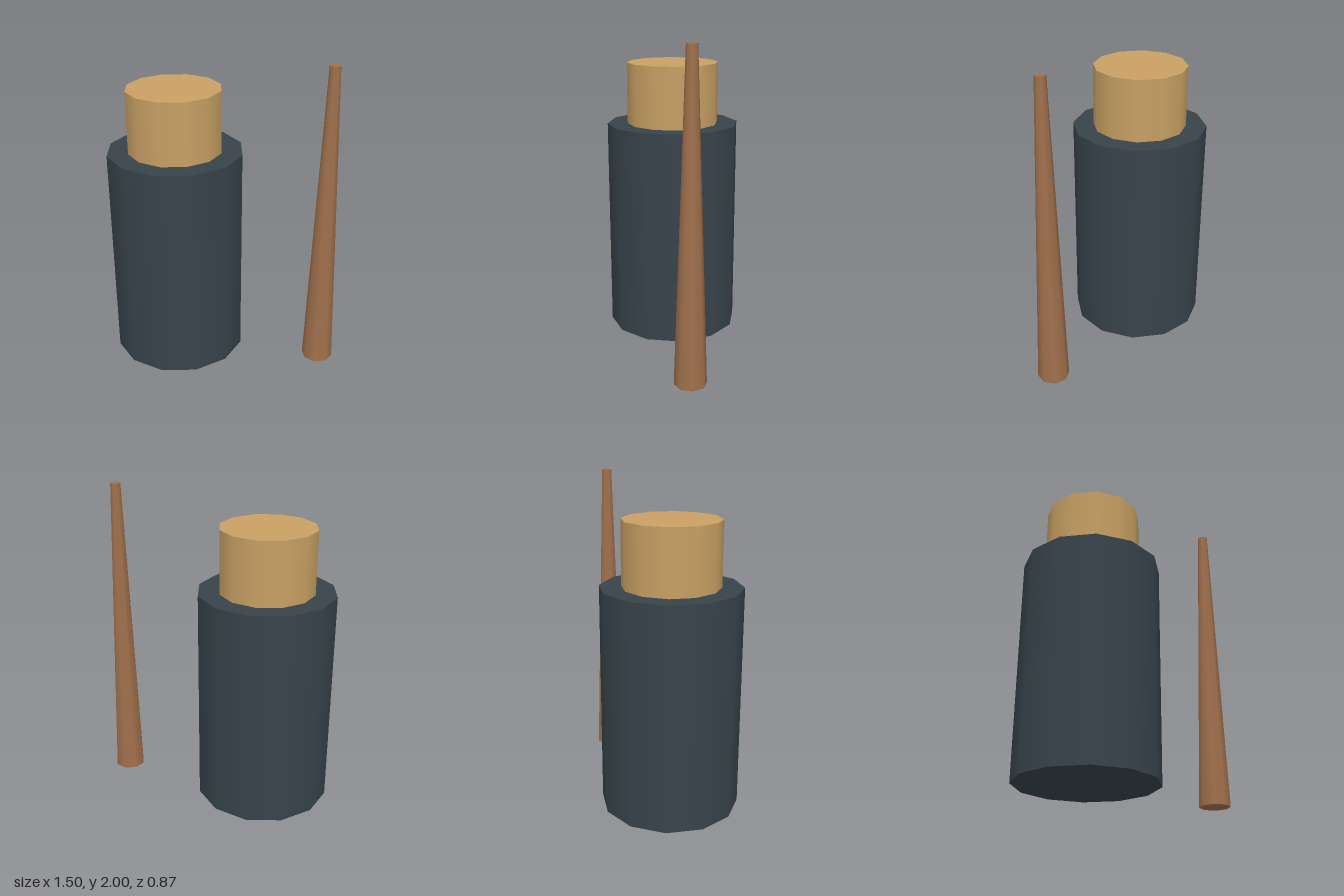
import * as THREE from 'three';

// Upright faceted-outline cylinder standing at height y0
function column(name, color, rTop, rBottom, height, sides, x, y0) {
  const mesh = new THREE.Mesh(
    new THREE.CylinderGeometry(rTop, rBottom, height, sides),
    new THREE.MeshStandardMaterial({ color })
  );
  mesh.name = name;
  mesh.position.set(x, y0 + height / 2, 0);
  return mesh;
}

export function createModel() {
  const group = new THREE.Group();
  group.name = 'jarAndStick';

  // Dark jar with its stopper
  const jarX = -0.317;
  group.add(column('jarBody', 0x37434a, 0.433, 0.433, 1.4, 12, jarX, 0));
  group.add(column('stopper', 0xc8a064, 0.3, 0.3, 0.4, 12, jarX, 1.4));

  // Tapered stick beside the jar
  group.add(column('taperedStick', 0xa0704c, 0.033, 0.1, 2, 8, 0.65, 0));

  return group;
}
